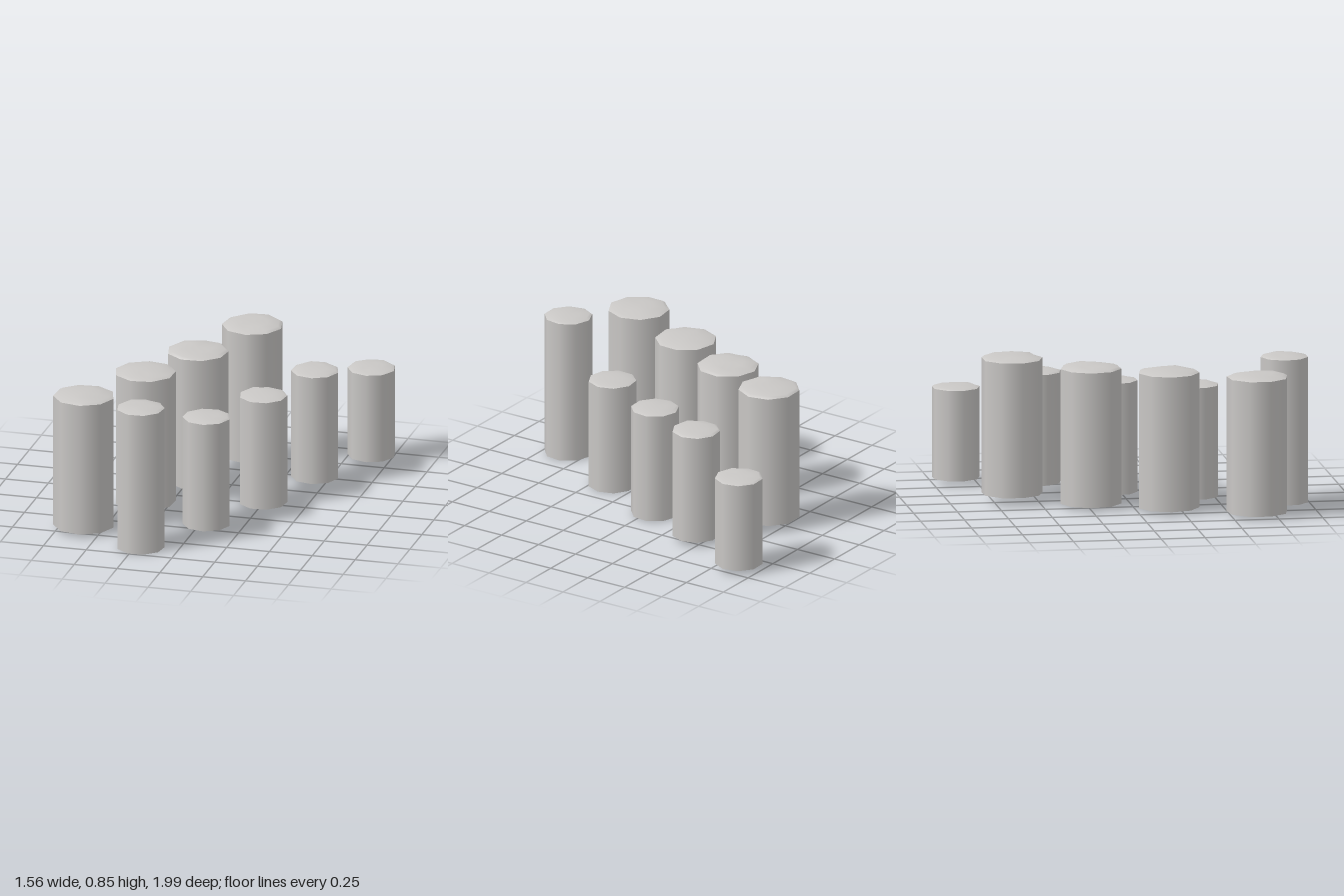
import * as THREE from 'three';
import { mergeVertices } from 'three/addons/utils/BufferGeometryUtils.js';

const SIDES = 9;
const BIG = 0.174, SMALL = 0.136;

// x, z, radius, bottom, rim height, peak height, first corner angle in degrees
const posts = [
  [-0.61, 0.65, BIG, 0.02, 0.79, 0.81, 3],
  [-0.385, 0.18, BIG, 0.02, 0.79, 0.81, 23],
  [-0.193, -0.232, BIG, 0.02, 0.79, 0.81, 27],
  [0.012, -0.648, BIG, 0.05, 0.82, 0.84, 8],
  [-0.22, 0.865, SMALL, 0, 0.83, 0.845, 28],
  [0.035, 0.397, SMALL, 0, 0.637, 0.651, 3],
  [0.245, -0.032, SMALL, 0, 0.637, 0.651, 27],
  [0.435, -0.437, SMALL, 0.03, 0.663, 0.679, 3],
  [0.645, -0.867, SMALL, 0.03, 0.547, 0.561, 8],
];

function seeded(seed) {
  let s = seed;
  return () => (s = (s * 16807) % 2147483647) / 2147483647;
}

// Low worn dome: the inner rings are nudged slightly, the rim stays regular
function domeGeometry(r, rise, seed) {
  const profile = [[1, 0], [0.86, 0.5], [0.5, 0.88], [0, 1]];
  const lathe = new THREE.LatheGeometry(
    profile.map(([a, b]) => new THREE.Vector2(a * r, b * rise)), SIDES);
  const rand = seeded(seed);
  const pos = lathe.attributes.position;
  const rings = profile.length;
  const nudges = Array.from({ length: SIDES * rings }, () => rand() - 0.5);
  for (let i = 0; i <= SIDES; i++) {
    for (let j = 1; j < rings - 1; j++) {
      const k = i * rings + j;
      const n = nudges[(i % SIDES) * rings + j];
      pos.setXYZ(k, pos.getX(k) * (1 + n * 0.12), pos.getY(k) + n * rise * 0.3,
        pos.getZ(k) * (1 + n * 0.12));
    }
  }
  lathe.deleteAttribute('normal');
  lathe.deleteAttribute('uv');
  const geometry = mergeVertices(lathe, 1e-5);
  geometry.computeVertexNormals();
  return geometry;
}

export function createModel() {
  const model = new THREE.Group();
  model.name = 'stonePosts';
  const stone = new THREE.MeshStandardMaterial({ color: 0xcac8c6 });
  stone.name = 'pale grey stone';

  posts.forEach(([x, z, r, bottom, rim, peak, angle], i) => {
    const post = new THREE.Group();
    post.name = (r === BIG ? 'widePost' : 'narrowPost') + (i + 1);
    post.position.set(x, bottom, z);
    post.rotation.y = THREE.MathUtils.degToRad(90 - angle);
    const height = rim - bottom;

    const add = (name, geometry, y) => {
      const mesh = new THREE.Mesh(geometry, stone);
      mesh.name = name;
      mesh.position.y = y;
      post.add(mesh);
      return mesh;
    };
    // Nine-sided shaft, smooth around
    add('shaft', new THREE.CylinderGeometry(r, r, height, SIDES, 1, true), height / 2);
    add('domedTop', domeGeometry(r, peak - rim, 101 + i * 977), height);
    // Flat underside, turned so its corners meet the shaft
    const base = add('base', new THREE.CircleGeometry(r, SIDES, Math.PI / 2), 0);
    base.rotation.x = Math.PI / 2;
    model.add(post);
  });
  return model;
}
